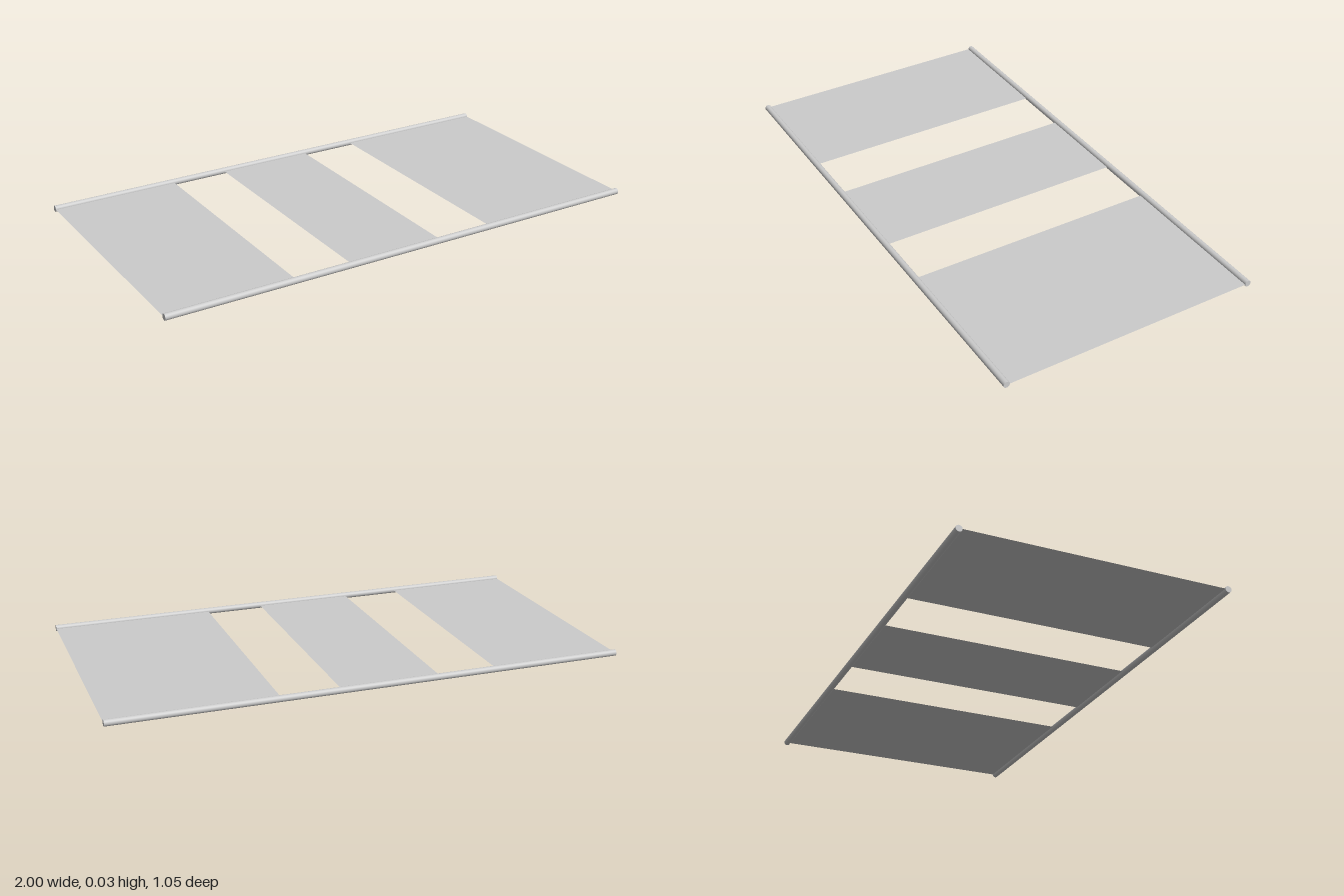
import * as THREE from 'three';

const RADIUS = 0.0125;
const RAIL_Z = 0.511;

export function createModel() {
  const group = new THREE.Group();
  const railMaterial = new THREE.MeshStandardMaterial({ color: 0xcccccc });
  const sheetMaterial = new THREE.MeshStandardMaterial({ color: 0xcccccc, side: THREE.DoubleSide });

  // Two round rails along the long sides
  const railGeometry = new THREE.CylinderGeometry(RADIUS, RADIUS, 2, 24).rotateZ(Math.PI / 2);
  for (const [name, side] of [['frontRail', 1], ['backRail', -1]]) {
    const rail = new THREE.Mesh(railGeometry, railMaterial);
    rail.name = name;
    rail.position.set(0, RADIUS, side * RAIL_Z);
    group.add(rail);
  }

  // Thin sheets stretched between the rails, with two gaps
  const sheets = [
    ['rightSheet', -1, -0.49],
    ['middleSheet', -0.26, 0.13],
    ['leftSheet', 0.36, 1],
  ];
  for (const [name, x0, x1] of sheets) {
    const geometry = new THREE.PlaneGeometry(x1 - x0, 2 * RAIL_Z).rotateX(-Math.PI / 2);
    const sheet = new THREE.Mesh(geometry, sheetMaterial);
    sheet.name = name;
    sheet.position.set((x0 + x1) / 2, RADIUS, 0);
    group.add(sheet);
  }

  return group;
}
